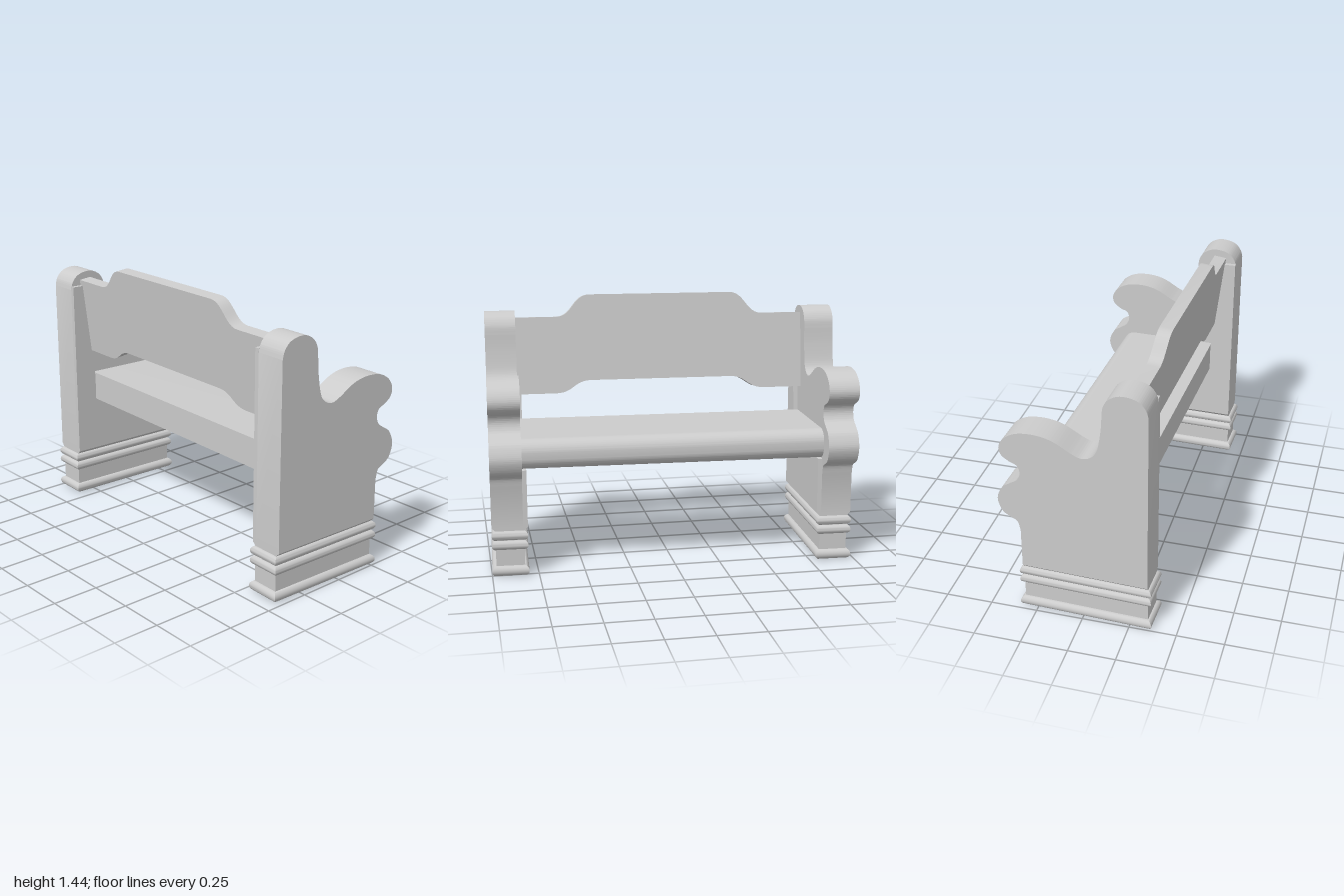
import * as THREE from 'three';
import { toCreasedNormals } from 'three/addons/utils/BufferGeometryUtils.js';

const material = new THREE.MeshStandardMaterial({ color: 0xcccccc });
const V = (x, y) => new THREE.Vector2(x, y);
const OUTER = 0.988, INNER = 0.82, LEDGE = 0.795;   // side panel faces in x
const BACK = 0.38, FRONT = -0.288;                  // leg ends in z
const TILT = 0.12;                                  // lean of the backrest

function add(parent, name, geometry) {
  const mesh = new THREE.Mesh(toCreasedNormals(geometry, 0.6), material);
  mesh.name = name;
  parent.add(mesh);
  return mesh;
}

function extrude(shape, depth, curveSegments = 12) {
  return new THREE.ExtrudeGeometry(shape, { depth, curveSegments, bevelEnabled: false });
}

// Extrudes a (z, y) profile across x, from x0 to x1
function extrudeAcross(shape, x0, x1, curveSegments) {
  return extrude(shape, x1 - x0, curveSegments).rotateY(-Math.PI / 2).translate(x1, 0, 0);
}

// Half-round band with mitred corners around a rectangular leg
function band(cx, cz, hx, hz, y, r) {
  const points = [V(0.001, y - r)];
  for (let i = 0; i <= 12; i++) {
    const a = -Math.PI / 2 + (Math.PI * i) / 12;
    points.push(V((hx + r * Math.cos(a)) * Math.SQRT2, y + r * Math.sin(a)));
  }
  points.push(V(0.001, y + r));
  const g = new THREE.LatheGeometry(points, 4, Math.PI / 4);
  const p = g.attributes.position;
  for (let i = 0; i < p.count; i++) p.setZ(i, p.getZ(i) + Math.sign(p.getZ(i)) * (hz - hx));
  return g.translate(cx, 0, cz);
}

// Scrolled side outline: tall back post, dip, armrest and two lobes
function sideShape() {
  const s = new THREE.Shape();
  s.moveTo(FRONT, 0.27);
  s.lineTo(BACK, 0.27);
  s.lineTo(BACK, 1.26);
  s.splineThru([V(0.369, 1.3), V(0.338, 1.337), V(0.29, 1.355), V(0.235, 1.355),
    V(0.187, 1.33), V(0.16, 1.29), V(0.153, 1.247)]);
  s.splineThru([V(0.146, 1.15), V(0.127, 1.045), V(0.098, 1.0), V(0.05, 0.982),
    V(0, 0.998), V(-0.086, 1.046), V(-0.15, 1.066), V(-0.22, 1.071), V(-0.29, 1.06),
    V(-0.35, 1.025), V(-0.379, 0.975), V(-0.37, 0.928), V(-0.33, 0.897),
    V(-0.29, 0.878), V(-0.276, 0.838), V(-0.292, 0.795), V(-0.33, 0.768),
    V(-0.375, 0.735), V(-0.402, 0.665), V(-0.38, 0.595), V(-0.34, 0.565),
    V(-0.303, 0.543), V(FRONT, 0.49)]);
  return s;
}

// Inner layer: ledge under the seat and cleat behind the backrest
function supportShape() {
  const planeZ = y => 0.27 + (y - 0.89) * Math.tan(TILT);
  return new THREE.Shape([V(FRONT, 0.27), V(BACK, 0.27), V(BACK, 1.28),
    V(planeZ(1.28), 1.28), V(planeZ(0.58), 0.58), V(FRONT, 0.58)]);
}

// Lower leg: narrower than the panel, flaring out at its top
function legShape(side) {
  const points = [V(0.815, 0.005), V(0.968, 0.005), V(0.968, 0.25), V(OUTER, 0.27),
    V(LEDGE, 0.27), V(0.815, 0.25)];
  return new THREE.Shape(points.map(p => V(p.x * side, p.y)));
}

function buildSide(side) {
  const g = new THREE.Group();
  g.name = side > 0 ? 'leftSide' : 'rightSide';
  const span = (a, b) => (side > 0 ? [a, b] : [-b, -a]);
  add(g, 'sidePanel', extrudeAcross(sideShape(), ...span(INNER, OUTER), 80));
  add(g, 'innerSupport', extrudeAcross(supportShape(), ...span(LEDGE, INNER)));
  add(g, 'leg', extrude(legShape(side), BACK - FRONT).translate(0, 0, FRONT));
  for (const [name, y] of [['footBand', 0.03], ['lowerBand', 0.173], ['upperBand', 0.226]]) {
    const r = y < 0.1 ? 0.029 : 0.0265;
    add(g, name, band(side * 0.8915, (BACK + FRONT) / 2, 0.07, 0.327, y, r));
  }
  return g;
}

// Seat board with a rounded front edge
function seatShape() {
  const r = 0.07, y0 = 0.58, y1 = 0.743, f = -0.307;
  const s = new THREE.Shape();
  s.moveTo(0.25, y0);
  s.lineTo(0.25, y1);
  s.lineTo(f + r, y1);
  s.absarc(f + r, y1 - r, r, Math.PI / 2, Math.PI, false);
  s.absarc(f + r, y0 + r, r, Math.PI, Math.PI * 1.5, false);
  return s;
}

// Backrest board with S-curves stepping up towards the middle, y from its lowest edge
function backrestShape() {
  const s = new THREE.Shape();
  const step = (x0, y0, x1, y1) => {
    const m = (x0 + x1) / 2;
    s.lineTo(x0, y0);
    s.bezierCurveTo(m, y0, m, y1, x1, y1);
  };
  s.moveTo(-INNER, 0);
  step(-0.6, 0, -0.4, 0.07);
  step(0.4, 0.07, 0.6, 0);
  s.lineTo(INNER, 0);
  s.lineTo(INNER, 0.43);
  step(0.59, 0.43, 0.4, 0.552);
  step(-0.4, 0.552, -0.59, 0.43);
  s.lineTo(-INNER, 0.43);
  return s;
}

export function createModel() {
  const model = new THREE.Group();
  model.name = 'bench';
  const bench = new THREE.Group();
  bench.name = 'benchBody';
  bench.rotation.y = -0.034;
  model.add(bench);

  bench.add(buildSide(1), buildSide(-1));
  add(bench, 'seat', extrudeAcross(seatShape(), -INNER, INNER));
  const backrest = add(bench, 'backrest', extrude(backrestShape(), 0.07));
  backrest.position.set(0, 0.893, 0.198);
  backrest.rotation.x = TILT;
  return model;
}
